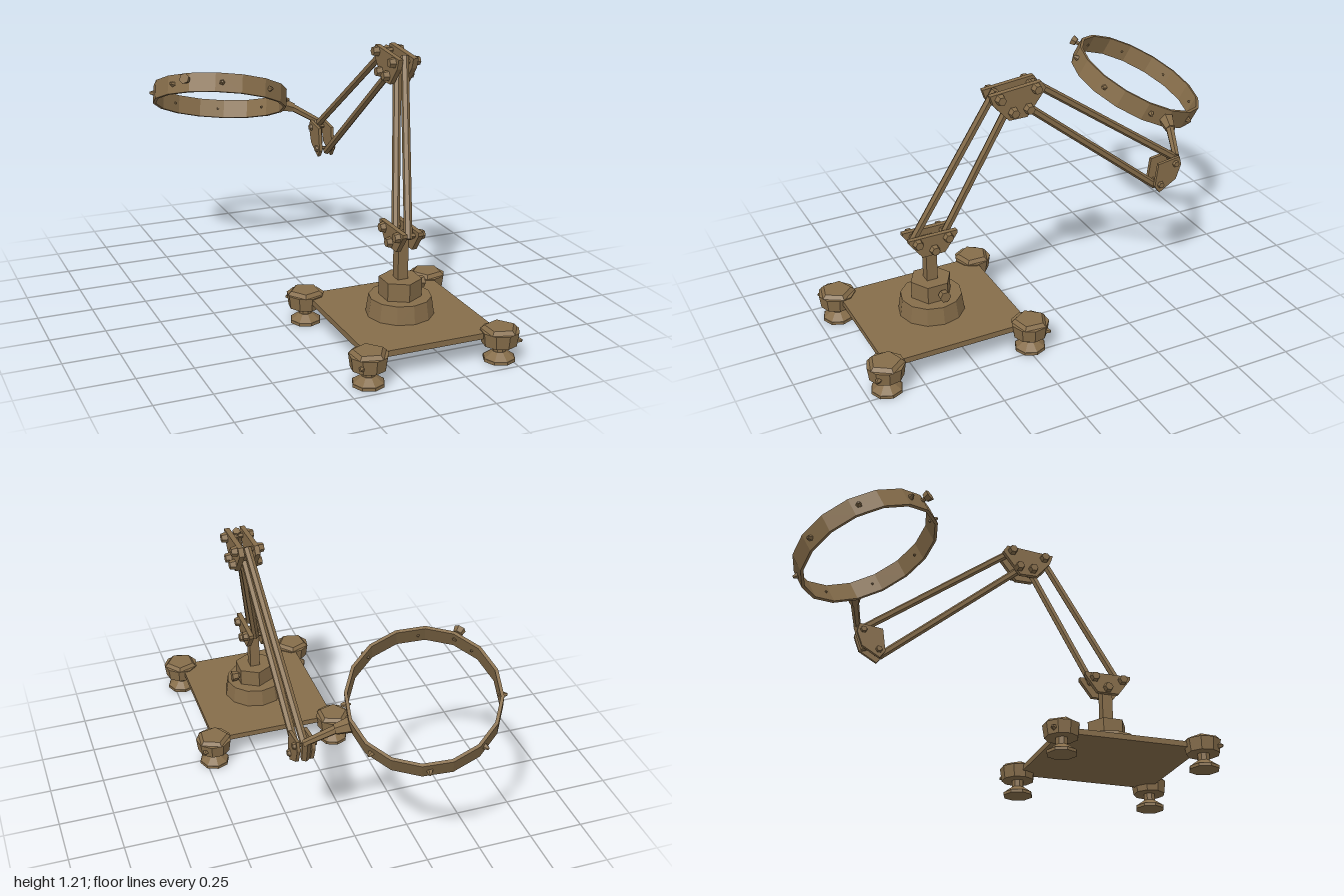
import * as THREE from 'three';

const V = (x, y, z) => new THREE.Vector3(x, y, z);
const UP = V(0, 1, 0);

export function createModel() {
  const root = new THREE.Group();
  root.name = 'magnifierStand';
  const bronze = new THREE.MeshStandardMaterial({ color: 0x866d4a });
  bronze.name = 'bronze';

  const add = (name, geo, parent = root) => {
    // Unshared vertices give every facet its own flat normal
    const g = geo.index ? geo.toNonIndexed() : geo;
    g.computeVertexNormals();
    const m = new THREE.Mesh(g, bronze);
    m.name = name;
    parent.add(m);
    return m;
  };
  const group = (name, parent = root) => {
    const g = new THREE.Group();
    g.name = name;
    parent.add(g);
    return g;
  };
  // Straight bar from a to b, with radius ra at a and rb at b
  const bar = (name, a, b, ra, rb = ra, sides = 6, parent = root) => {
    const d = b.clone().sub(a);
    const m = add(name, new THREE.CylinderGeometry(rb, ra, d.length(), sides), parent);
    m.position.copy(a).lerp(b, 0.5);
    m.quaternion.setFromUnitVectors(UP, d.normalize());
    return m;
  };
  // Upright prism between two heights
  const prism = (name, x, z, y0, y1, r0, r1, sides, parent = root) => {
    const m = add(name, new THREE.CylinderGeometry(r1, r0, y1 - y0, sides), parent);
    m.position.set(x, (y0 + y1) / 2, z);
    return m;
  };
  // Plate with a [z, y] outline, extruded from x0 to x1
  const plate = (name, pts, x0, x1, parent) => {
    const s = new THREE.Shape(pts.map(([z, y]) => new THREE.Vector2(-z, y)));
    const g = new THREE.ExtrudeGeometry(s, { depth: x1 - x0, bevelEnabled: false });
    g.rotateY(Math.PI / 2).translate(x0, 0, 0);
    add(name, g, parent);
  };
  // Joint: two matching plates with bolts through them
  const joint = (name, pts, bolts, left, right, head, r) => {
    const g = group(name);
    plate('jointPlate', pts, left[0], left[1], g);
    plate('jointPlate', pts, right[0], right[1], g);
    for (const [z, y] of bolts) {
      bar('boltShank', V(left[0], y, z), V(right[1], y, z), r * 0.5, r * 0.5, 6, g);
      bar('boltHead', V(right[1], y, z), V(right[1] + head, y, z), r, r * 0.8, 6, g);
      bar('boltNut', V(left[0], y, z), V(left[0] - head, y, z), r, r * 0.8, 6, g);
    }
  };

  // Base plate
  const cx = 0.157, cz = 0.57;
  add('basePlate', new THREE.BoxGeometry(0.6, 0.026, 0.67)).position.set(cx, 0.117, cz);

  // Four levelling feet on the corners
  for (const sx of [-1, 1]) for (const sz of [-1, 1]) {
    const g = group('levellingFoot');
    const x = cx + sx * 0.302, z = cz + sz * 0.337;
    prism('footPad', x, z, 0, 0.014, 0.07, 0.07, 8, g);
    prism('footCone', x, z, 0.014, 0.042, 0.068, 0.03, 8, g);
    prism('footStem', x, z, 0.04, 0.08, 0.028, 0.028, 8, g);
    prism('cornerBlock', x, z, 0.075, 0.135, 0.076, 0.084, 9, g);
    prism('cornerCap', x, z, 0.135, 0.151, 0.082, 0.066, 5, g).rotation.y = sx * 0.6 + sz;
    const d = V(sx, 0, sz).normalize();
    const p = V(x, 0.102, z).addScaledVector(d, 0.07);
    bar('cornerScrew', p, p.clone().addScaledVector(d, 0.025), 0.016, 0.006, 5, g);
  }

  // Turntable, hexagonal collar, clamp knob and post
  prism('turntable', cx, cz, 0.13, 0.21, 0.148, 0.136, 12);
  prism('collar', cx, cz, 0.21, 0.29, 0.093, 0.093, 6);
  bar('clampShank', V(0.22, 0.247, 0.55), V(0.25, 0.247, 0.55), 0.012);
  bar('clampKnob', V(0.245, 0.247, 0.55), V(0.277, 0.247, 0.55), 0.022, 0.026, 6);
  add('post', new THREE.BoxGeometry(0.047, 0.21, 0.05)).position.set(cx, 0.39, cz);

  // Lower joint above the post
  joint('lowerJoint',
    [[0.68, 0.525], [0.455, 0.525], [0.455, 0.51], [0.515, 0.43], [0.62, 0.43], [0.68, 0.51]],
    [[0.64, 0.502], [0.5, 0.502], [0.565, 0.456]], [0.11, 0.132], [0.183, 0.205], 0.022, 0.024);

  // Elbow joint at the top
  joint('elbowJoint',
    [[0.35, 1.185], [0.115, 1.207], [0.093, 1.175], [0.18, 1.06], [0.265, 1.06], [0.335, 1.14]],
    [[0.305, 1.165], [0.14, 1.182], [0.245, 1.095], [0.175, 1.098]],
    [0.238, 0.26], [0.308, 0.332], 0.026, 0.024);

  // Outer joint carrying the ring
  joint('outerJoint',
    [[-0.495, 0.66], [-0.605, 0.675], [-0.615, 0.635], [-0.59, 0.565], [-0.505, 0.515], [-0.48, 0.55]],
    [[-0.585, 0.645], [-0.51, 0.555]], [0.222, 0.238], [0.288, 0.302], 0.012, 0.017);

  // Paired parallel rods of both arm sections
  bar('lowerArmRod', V(0.152, 0.49, 0.646), V(0.287, 1.19, 0.305), 0.018);
  bar('lowerArmRod', V(0.162, 0.49, 0.505), V(0.284, 1.11, 0.24), 0.018);
  bar('upperArmRod', V(0.285, 1.19, 0.135), V(0.266, 0.66, -0.595), 0.018);
  bar('upperArmRod', V(0.285, 1.1, 0.18), V(0.268, 0.54, -0.5), 0.018);

  // Bent link from the outer joint to the ring
  const link = group('ringLink');
  bar('linkLower', V(0.255, 0.56, -0.57), V(0.26, 0.67, -0.605), 0.02, 0.022, 6, link);
  bar('linkUpper', V(0.27, 0.665, -0.605), V(0.14, 0.742, -0.65), 0.016, 0.02, 6, link);
  bar('linkClamp', V(0.15, 0.738, -0.648), V(0.09, 0.757, -0.662), 0.024, 0.036, 6, link);

  // Tilted open ring
  const ring = group('ring');
  ring.position.set(-0.222, 0.825, -0.68);
  ring.quaternion.setFromUnitVectors(UP, V(0.22, 1, -0.45).normalize());
  const R = 0.325, H = 0.045, W = 0.014;
  add('ringBand', new THREE.LatheGeometry([
    new THREE.Vector2(R - W, -H), new THREE.Vector2(R, -H), new THREE.Vector2(R, H),
    new THREE.Vector2(R - W, H), new THREE.Vector2(R - W, -H)], 16), ring);

  // Radial fittings on the ring
  const radial = (name, deg, r0, r1, ra, rb, sides, y = 0) => {
    const a = deg * Math.PI / 180;
    const p = r => V(Math.cos(a) * r, y, Math.sin(a) * r);
    bar(name, p(r0), p(r1), ra, rb, sides, ring);
  };
  for (let i = 0; i < 8; i++) {
    radial('ringScrew', 17 + i * 45, R - 0.012, R + 0.016, 0.017, 0.006, 5);
    radial('ringScrewTip', 17 + i * 45, R - 0.008, R - 0.026, 0.01, 0.004, 5);
  }
  radial('ringKnobShank', 136, R - 0.02, R + 0.022, 0.01, 0.01, 6, 0.01);
  radial('ringKnob', 136, R + 0.015, R + 0.04, 0.02, 0.026, 6, 0.01);

  return root;
}
